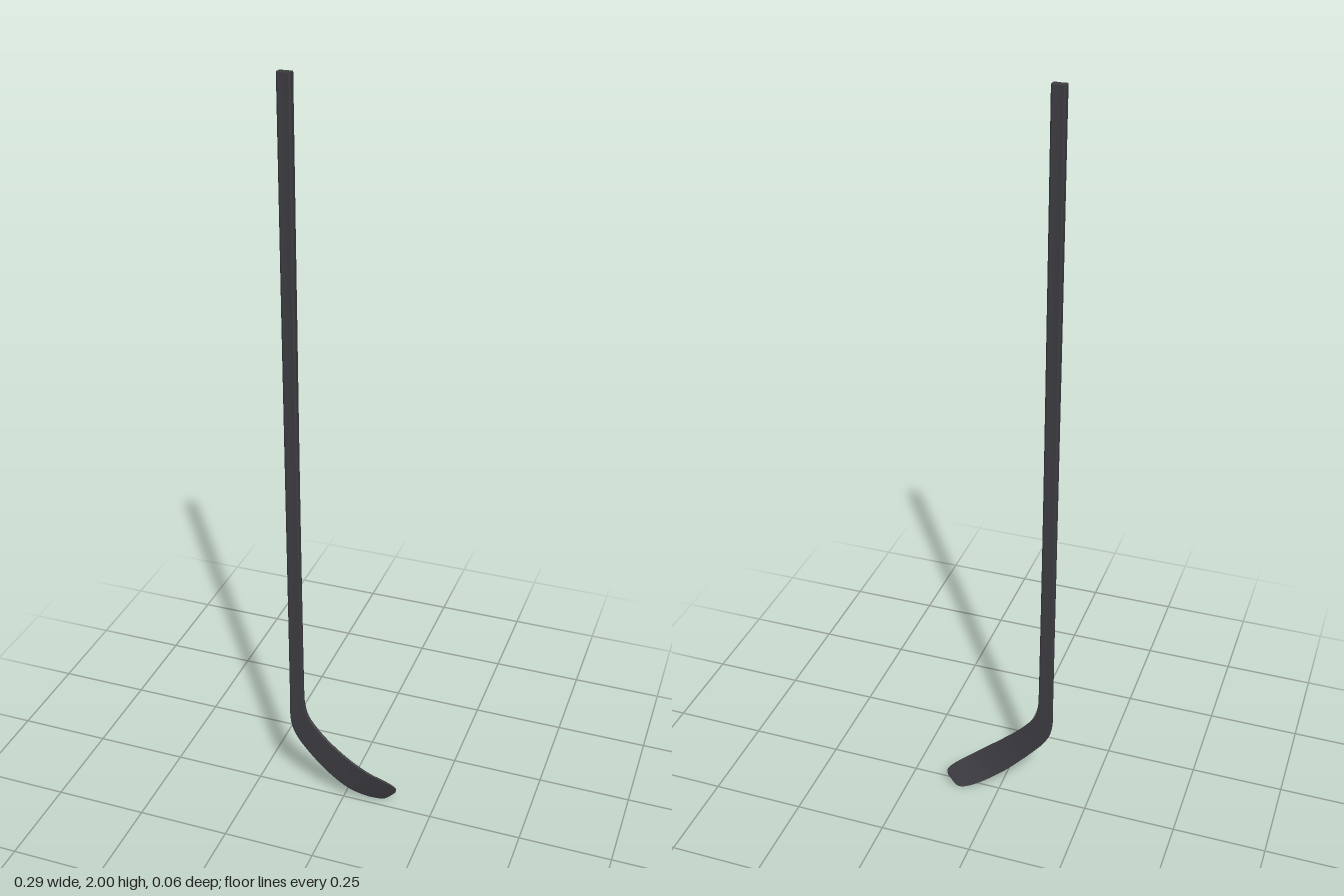
import * as THREE from 'three';

const material = new THREE.MeshStandardMaterial({ color: 0x3c3c42 });

// Rounded rectangle (half width w, half thickness t) with slightly hollow wide faces.
function section(w, t) {
  const r = Math.min(0.006, t * 0.75, w * 0.75);
  const hollow = t > 0.006 ? 0.9 : 1;
  const points = [];
  [[1, 1], [-1, 1], [-1, -1], [1, -1]].forEach(([su, sv], corner) => {
    for (let k = 0; k <= 4; k++) {
      const a = (corner + k / 4) * Math.PI / 2;
      points.push([su * (w - r) + r * Math.cos(a), sv * (t - r) + r * Math.sin(a)]);
    }
    if (corner % 2 === 0) {
      for (const f of [0.45, 0, -0.45]) points.push([su * f * w, sv * t * hollow]);
    }
  });
  return points;
}

// Skin the sections spanned between two edge curves; each station is
// [upper x, y, z, lower x, y, z, half thickness].
function loft(name, stations, steps, capStart, capEnd) {
  const edge = (o) => new THREE.CatmullRomCurve3(
    stations.map((s) => new THREE.Vector3(s[o], s[o + 1], s[o + 2])));
  const upper = edge(0), lower = edge(3);
  const positions = [], index = [], rings = [];
  for (let i = 0; i <= steps; i++) {
    const f = i / steps, q = f * (stations.length - 1);
    const k = Math.min(Math.floor(q), stations.length - 2);
    const t = THREE.MathUtils.lerp(stations[k][6], stations[k + 1][6], q - k);
    const a = upper.getPoint(f), b = lower.getPoint(f);
    const mid = a.clone().add(b).multiplyScalar(0.5);
    const across = a.clone().sub(b);
    const w = across.length() / 2;
    across.normalize();
    rings.push(section(w, t).map(([u, v]) => {
      const p = mid.clone().addScaledVector(across, u);
      p.z += v;
      return p;
    }));
  }
  const n = rings[0].length;
  rings.flat().forEach((p) => positions.push(p.x, p.y, p.z));
  for (let i = 0; i < steps; i++) {
    for (let j = 0; j < n; j++) {
      const a = i * n + j, b = i * n + (j + 1) % n;
      index.push(a, b, a + n, b, b + n, a + n);
    }
  }
  // Flat end caps with their own vertices, so the rim stays crisp
  const cap = (ring, reversed) => {
    const start = positions.length / 3;
    const c = ring.reduce((s, p) => s.add(p), new THREE.Vector3()).divideScalar(n);
    [c, ...ring].forEach((p) => positions.push(p.x, p.y, p.z));
    for (let j = 0; j < n; j++) {
      const a = start + 1 + j, b = start + 1 + (j + 1) % n;
      index.push(start, reversed ? b : a, reversed ? a : b);
    }
  };
  if (capStart) cap(rings[0], true);
  if (capEnd) cap(rings[steps], false);

  const geometry = new THREE.BufferGeometry();
  geometry.setAttribute('position', new THREE.Float32BufferAttribute(positions, 3));
  geometry.setIndex(index);
  geometry.computeVertexNormals();
  const mesh = new THREE.Mesh(geometry, material);
  mesh.name = name;
  return mesh;
}

export function createModel() {
  const group = new THREE.Group();
  group.name = 'hockeyStick';

  // Long straight shaft, thinning towards the blade
  group.add(loft('shaft', [
    [-0.111, 2.00, 0.0185, -0.146, 2.00, 0.0185, 0.0115],
    [-0.111, 1.45, 0.0185, -0.146, 1.45, 0.0185, 0.0113],
    [-0.110, 0.90, 0.0185, -0.146, 0.90, 0.0185, 0.0095],
    [-0.107, 0.36, 0.0185, -0.146, 0.34, 0.0185, 0.0070],
  ], 24, true, false));

  // Heel bend, blade curving backwards, and rounded toe
  group.add(loft('blade', [
    [-0.107, 0.360, 0.0185, -0.146, 0.340, 0.0185, 0.0070],
    [-0.105, 0.315, 0.0185, -0.146, 0.260, 0.0185, 0.0060],
    [-0.094, 0.272, 0.0185, -0.140, 0.225, 0.0185, 0.0050],
    [-0.070, 0.237, 0.0185, -0.125, 0.193, 0.0185, 0.0042],
    [-0.033, 0.198, 0.0185, -0.098, 0.157, 0.0185, 0.0036],
    [0.010, 0.160, 0.0160, -0.060, 0.114, 0.0165, 0.0033],
    [0.045, 0.132, 0.0110, -0.022, 0.075, 0.0110, 0.0031],
    [0.080, 0.106, 0.0030, 0.018, 0.042, 0.0030, 0.0030],
    [0.112, 0.084, -0.0090, 0.058, 0.018, -0.0110, 0.0030],
    [0.130, 0.070, -0.0160, 0.084, 0.008, -0.0210, 0.0029],
    [0.142, 0.058, -0.0210, 0.103, 0.005, -0.0270, 0.0027],
    [0.145, 0.048, -0.0235, 0.115, 0.009, -0.0290, 0.0024],
    [0.142, 0.038, -0.0255, 0.125, 0.018, -0.0285, 0.0018],
  ], 72, false, true));

  return group;
}
